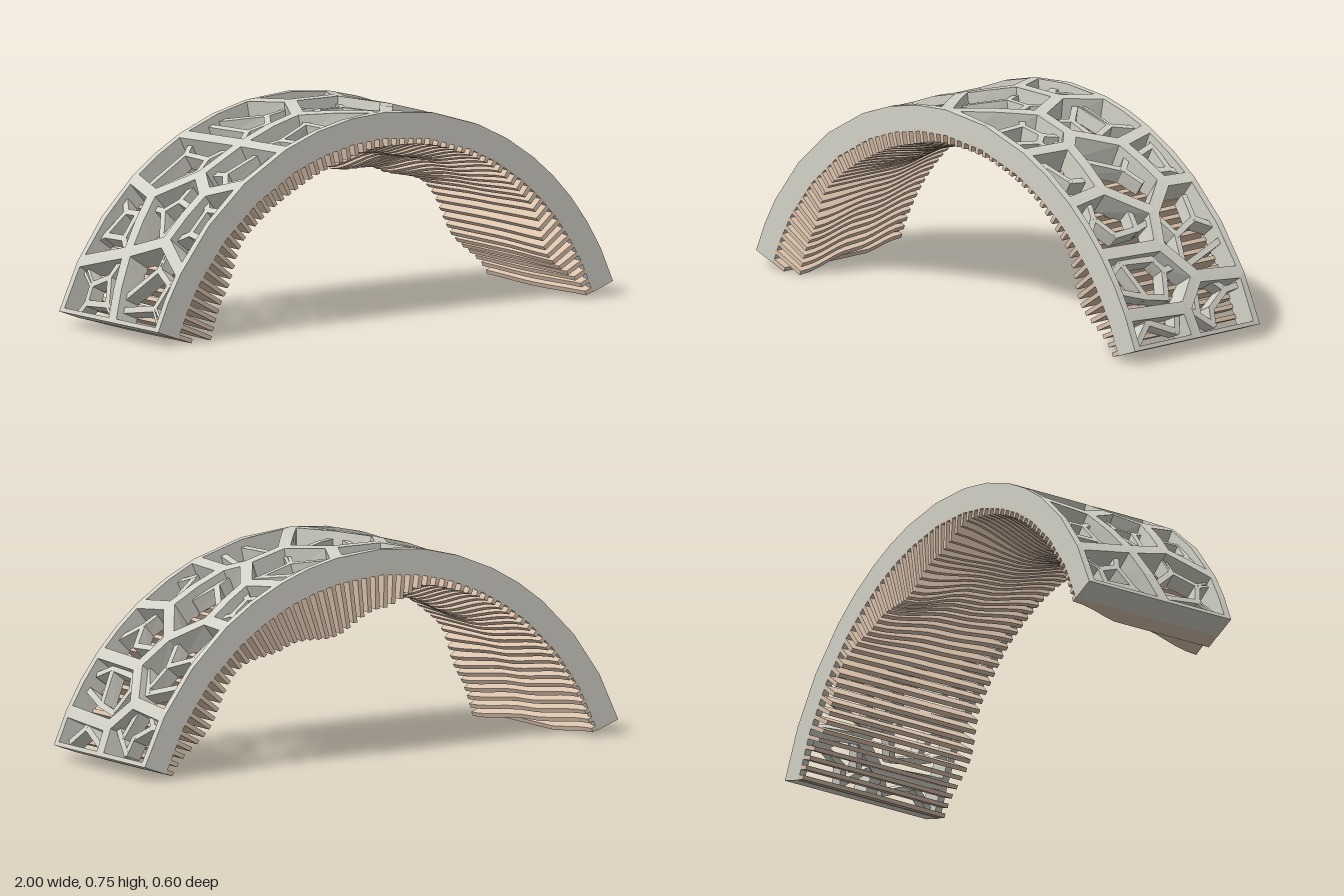
import * as THREE from 'three';

const CENTRE_Y = -0.314, R_IN = 0.97, R_OUT = 1.064, R_FINE_IN = 0.978, R_FINE_OUT = 1.035;
const U0 = Math.acos(1 / R_OUT), U1 = Math.PI - U0, HALF = 0.3;

// Network nodes of the main ribs: x and z on the outer skin
const NODES = {
  0: [1, 0.3], 1: [1, 0], 2: [1, -0.3], b: [0.955, 0.012], c: [0.947, 0.3], d: [0.905, -0.083],
  e: [0.916, -0.3], f: [0.823, 0.02], g: [0.815, 0.3], h: [0.73, -0.035], i: [0.628, 0.12],
  j: [0.646, -0.16], k: [0.653, -0.3], l: [0.46, -0.125], m: [0.42, 0.09], n: [0.36, 0.03],
  o: [0.65, 0.3], p: [0.41, 0.3], q: [0.42, -0.3], r: [0.2, 0.03], s: [0.11, -0.14],
  t: [0.19, -0.3], v: [-0.1, -0.14], w: [-0.18, -0.3], y: [-0.2, 0.04], z: [0, 0.3],
  A: [-0.45, 0.05], B: [-0.47, -0.3], C: [-0.44, 0.3], S: [-0.62, 0.03], T: [-0.72, -0.12],
  D: [-0.68, -0.3], U: [-0.68, 0.14], E: [-0.62, 0.3], W: [-0.88, -0.05], X: [-0.84, 0.12],
  F: [-0.92, -0.3], G: [-0.9, 0.3], H: [-1, 0.02], I: [-1, 0.3], J: [-1, -0.3],
};
// Cells between the main ribs, as loops of node names: branched ones near the +x end, then the rest
const BRANCHED = ['01bc', '12edb', 'cbdfg', 'edfhjk', 'gfhio', 'ihjlnm', 'oimp'];
const DIVIDED = ['jkql', 'lqtsrn', 'pmnrz', 'tsvw', 'srzyv', 'wvyAB', 'yzCA', 'BASTD', 'ACEUS',
  'DTWF', 'STWXU', 'EUXG', 'FWHJ', 'WXGIH'];
// Fine branches of the first cells, as z and y
const BRANCHES = [
  [[0.25, 0.065], [0.18, 0.125], [0.06, 0.075], [0.035, 0.14]], [[0.18, 0.125], [0.205, 0.155]],
  [[-0.02, 0.14], [-0.055, 0.115], [-0.115, 0.07]], [[-0.275, 0.18], [-0.215, 0.175], [-0.155, 0.225]],
  [[-0.215, 0.175], [-0.125, 0.125], [-0.115, 0.07]], [[-0.06, 0.12], [-0.085, 0.22]],
  [[0.2, 0.325], [0.15, 0.205], [0.06, 0.19], [0.025, 0.275], [0.055, 0.315], [0.2, 0.325]],
  [[0.2, 0.325], [0.265, 0.295]], [[0.15, 0.205], [0.265, 0.24]], [[0.025, 0.275], [-0.02, 0.28]],
  [[0.01, 0.355], [-0.085, 0.275], [-0.275, 0.325]], [[-0.06, 0.44], [-0.105, 0.37], [-0.08, 0.3]],
  [[-0.105, 0.37], [-0.215, 0.405], [-0.28, 0.375]], [[-0.215, 0.405], [-0.235, 0.47]],
  [[0.28, 0.415], [0.21, 0.465], [0.19, 0.5]], [[0.21, 0.465], [0.16, 0.405], [0.055, 0.41], [0.03, 0.48]],
  [[0.055, 0.41], [0, 0.42]], [[0.09, 0.66], [0.06, 0.61], [0.09, 0.565]],
  [[0.06, 0.61], [-0.065, 0.57], [-0.12, 0.595]], [[-0.065, 0.57], [-0.1, 0.53]],
  [[0.275, 0.6], [0.23, 0.62], [0.19, 0.57], [0.13, 0.565]],
];

let seed = 7;
const rand = () => (seed = (seed * 16807) % 2147483647) / 2147483647;
const lerp = (a, b, t) => [a[0] + (b[0] - a[0]) * t, a[1] + (b[1] - a[1]) * t];
const dist = (a, b) => Math.hypot(a[0] - b[0], a[1] - b[1]);
const next = (p, i) => p[(i + 1) % p.length];
const area = p => p.reduce((s, a, i) => s + a[0] * next(p, i)[1] - next(p, i)[0] * a[1], 0) / 2;
const centroid = p => [0, 1].map(k => p.reduce((s, a) => s + a[k], 0) / p.length);
// Unrolled point (angle u, z) at radius r to space
const wrap = ([u, z], r) => [r * Math.cos(u), r * Math.sin(u) + CENTRE_Y, z];
const quad = (pos, a, b, c, d) => pos.push(...a, ...b, ...c, ...a, ...c, ...d);
const onSide = (a, b) => Math.abs(a[1]) > HALF - 1e-4 && Math.abs(a[1] - b[1]) < 1e-4;
const onEnd = (a, b) => [U0, U1].some(u => Math.abs(a[0] - u) < 1e-4 && Math.abs(b[0] - u) < 1e-4);

// Mitred inset of a counter-clockwise polygon with its own width per edge
function inset(poly, width) {
  const lines = poly.map((a, i) => {
    const b = next(poly, i), L = dist(a, b), d = [(b[0] - a[0]) / L, (b[1] - a[1]) / L], w = width(a, b);
    return { p: [a[0] - d[1] * w, a[1] + d[0] * w], d };
  });
  const out = lines.map((n, i) => {
    const m = lines[(i + poly.length - 1) % poly.length];
    const cross = m.d[0] * n.d[1] - m.d[1] * n.d[0];
    if (Math.abs(cross) < 0.05) return n.p;
    const t = ((n.p[0] - m.p[0]) * n.d[1] - (n.p[1] - m.p[1]) * n.d[0]) / cross;
    return [m.p[0] + m.d[0] * t, m.p[1] + m.d[1] * t];
  });
  const flipped = out.some((a, i) => {
    const b = next(out, i), d = lines[i].d;
    return (b[0] - a[0]) * d[0] + (b[1] - a[1]) * d[1] < 0;
  });
  return flipped ? poly.map(a => lerp(a, centroid(poly), 0.35)) : out;
}

// Frame around one cell, from radius r0 to r1, with walls on the open arch borders
function addFrame(pos, poly, width, r0, r1) {
  const inner = inset(poly, width);
  poly.forEach((a, i) => {
    const b = next(poly, i), steps = Math.ceil(dist(a, b) / 0.2);
    for (let k = 0; k < steps; k++) {
      const [s, t] = [k / steps, (k + 1) / steps];
      const p = lerp(a, b, s), p2 = lerp(a, b, t);
      const q = lerp(inner[i], next(inner, i), s), q2 = lerp(inner[i], next(inner, i), t);
      quad(pos, wrap(p, r1), wrap(p2, r1), wrap(q2, r1), wrap(q, r1));
      quad(pos, wrap(q, r0), wrap(q2, r0), wrap(p2, r0), wrap(p, r0));
      quad(pos, wrap(q2, r0), wrap(q, r0), wrap(q, r1), wrap(q2, r1));
      if (onSide(a, b) || onEnd(a, b)) quad(pos, wrap(p, r0), wrap(p2, r0), wrap(p2, r1), wrap(p, r1));
    }
  });
}

// Straight fine rib between two unrolled points
function addStrut(pos, a, b) {
  const L = dist(a, b), w = 0.011, d = [(b[0] - a[0]) / L * w, (b[1] - a[1]) / L * w];
  const corner = (p, along, across) => [p[0] + d[0] * along - d[1] * across, p[1] + d[1] * along + d[0] * across];
  const c = [corner(a, -0.5, -1), corner(b, 0.5, -1), corner(b, 0.5, 1), corner(a, -0.5, 1)];
  const low = c.map(p => wrap(p, R_FINE_IN)), top = c.map(p => wrap(p, R_FINE_OUT));
  quad(pos, ...top);
  quad(pos, ...[...low].reverse());
  for (let i = 0; i < 4; i++) quad(pos, low[i], next(low, i), next(top, i), top[i]);
}

// Part of a polygon that lies nearer to point a than to point b
function clipNearer(poly, a, b) {
  const m = lerp(a, b, 0.5), out = [];
  const side = p => (p[0] - m[0]) * (b[0] - a[0]) + (p[1] - m[1]) * (b[1] - a[1]);
  poly.forEach((p, i) => {
    const q = next(poly, i), sp = side(p), sq = side(q);
    if (sp <= 0) out.push(p);
    if (sp * sq < 0) out.push(lerp(p, q, sp / (sp - sq)));
  });
  return out;
}

// Smaller cells inside a main cell
function subdivide(poly) {
  const c = centroid(poly), count = Math.min(4, poly.length), first = Math.floor(rand() * poly.length);
  const jitter = p => [p[0] + (rand() - 0.5) * 0.04, p[1] + (rand() - 0.5) * 0.04];
  const seeds = [jitter(c)];
  for (let k = 0; k < count; k++) {
    const i = (first + Math.floor(k * poly.length / count)) % poly.length;
    seeds.push(jitter(lerp(c, lerp(poly[i], next(poly, i), 0.5), 0.8)));
  }
  return seeds.map(a => {
    const cell = seeds.reduce((p, b) => (b === a ? p : clipNearer(p, a, b)), poly);
    return cell.filter((p, i) => dist(p, next(cell, i)) > 0.02);
  }).filter(p => p.length > 2 && area(p) > 0.0005);
}

function meshFrom(pos, material, name) {
  const geo = new THREE.BufferGeometry();
  geo.setAttribute('position', new THREE.Float32BufferAttribute(pos, 3));
  geo.computeVertexNormals();
  const mesh = new THREE.Mesh(geo, material);
  mesh.name = name;
  return mesh;
}

// Slat depth along the front edge, middle and back edge, from the +x end to the -x end
const FRONT = [0.03, 0.11, 0.04, 0.02, 0.02, 0.03, 0.05, 0.06, 0.06, 0.12, 0.14];
const MIDDLE = [0.04, 0.1, 0.05, 0.06, 0.09, 0.1, 0.1, 0.09, 0.06, 0.07, 0.08];
const BACK = [0.03, 0.1, 0.06, 0.125, 0.18, 0.12, 0.03, 0.02, 0.02, 0.02, 0.02];
function sample(list, t) {
  const f = t * (list.length - 1), i = Math.min(Math.floor(f), list.length - 2);
  return THREE.MathUtils.lerp(list[i], list[i + 1], THREE.MathUtils.smoothstep(f, i, i + 1));
}

// One radial slat with a wavy inner edge
function makeSlat(u, material) {
  const t = (u - U0) / (U1 - U0), limit = R_IN - 0.319 / Math.sin(u), thick = 0.016, steps = 12;
  const across = [BACK, MIDDLE, FRONT].map(list => sample(list, t));
  const shape = new THREE.Shape();
  shape.moveTo(HALF, R_IN + 0.006);
  shape.lineTo(-HALF, R_IN + 0.006);
  for (let k = 0; k <= steps; k++) {
    shape.lineTo(-HALF + 2 * HALF * k / steps, R_IN - Math.min(sample(across, k / steps), limit));
  }
  const geo = new THREE.ExtrudeGeometry(shape, { depth: thick, bevelEnabled: false });
  geo.translate(0, 0, -thick / 2).rotateY(-Math.PI / 2).rotateZ(u - Math.PI / 2).translate(0, CENTRE_Y, 0);
  const mesh = new THREE.Mesh(geo, material);
  mesh.name = 'slat';
  return mesh;
}

export function createModel() {
  const concrete = new THREE.MeshStandardMaterial({ name: 'pale grey concrete', color: 0xd3d2c8 });
  const timber = new THREE.MeshStandardMaterial({ name: 'light timber', color: 0xdac2ac });
  const model = new THREE.Group();
  model.name = 'archedPavilion';

  // Main and secondary ribs
  const main = [], fine = [];
  const mainWidth = (a, b) => (onSide(a, b) ? 0.026 : onEnd(a, b) ? 0.015 : 0.022);
  for (const names of [...BRANCHED, ...DIVIDED]) {
    const poly = [...names].map(n => [Math.acos(NODES[n][0] / R_OUT), NODES[n][1]]);
    if (area(poly) < 0) poly.reverse();
    addFrame(main, poly, mainWidth, R_IN, R_OUT);
    if (BRANCHED.includes(names)) continue;
    for (const cell of subdivide(poly)) addFrame(fine, cell, () => 0.011, R_FINE_IN, R_FINE_OUT);
  }
  for (const path of BRANCHES) {
    const points = path.map(([z, y]) => [Math.asin((y - CENTRE_Y) / R_FINE_OUT), z]);
    for (let i = 1; i < points.length; i++) addStrut(fine, points[i - 1], points[i]);
  }
  model.add(meshFrom(main, concrete, 'mainRibs'), meshFrom(fine, concrete, 'secondaryRibs'));

  // Timber slats lining the inside
  const slats = new THREE.Group(), count = 64;
  slats.name = 'slats';
  for (let k = 0; k < count; k++) {
    slats.add(makeSlat(U0 + 0.01 + (U1 - U0 - 0.02) * k / (count - 1), timber));
  }
  model.add(slats);
  return model;
}
